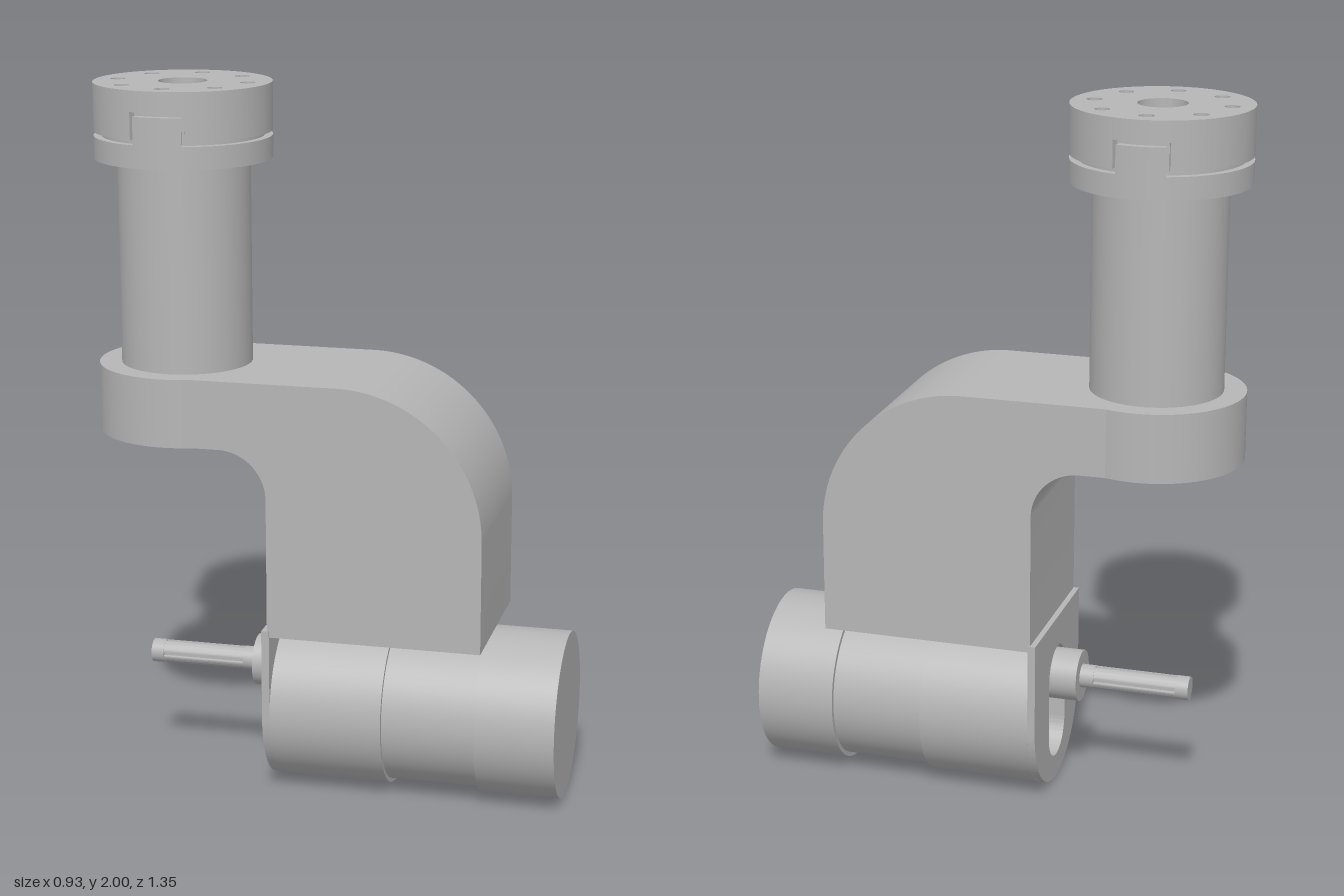
import * as THREE from 'three';
import { toCreasedNormals } from 'three/addons/utils/BufferGeometryUtils.js';

const rad = THREE.MathUtils.degToRad;

export function createModel() {
  const model = new THREE.Group();
  model.name = 'robotWrist';
  // Everything is built around the flange axis, then turned 25 degrees.
  const arm = new THREE.Group();
  arm.name = 'armAssembly';
  arm.position.set(-0.218, 0, -0.43);
  arm.rotation.y = rad(25);
  model.add(arm);

  const grey = new THREE.MeshStandardMaterial({ color: 0xb6b6b6 });
  grey.name = 'machined grey';

  const add = (name, geometry) => {
    const mesh = new THREE.Mesh(geometry, grey);
    mesh.name = name;
    arm.add(mesh);
    return mesh;
  };
  const extrude = (shape, depth) => toCreasedNormals(
    new THREE.ExtrudeGeometry(shape, { depth, bevelEnabled: false, curveSegments: 48 }), 0.5);
  // Extrusion standing upright from y0 to y1
  const upright = (name, shape, y0, y1) =>
    add(name, extrude(shape, y1 - y0).rotateX(-Math.PI / 2).translate(0, y0, 0));
  const post = (name, r, y0, y1) =>
    add(name, new THREE.CylinderGeometry(r, r, y1 - y0, 72).translate(0, (y0 + y1) / 2, 0));
  // Cylinder lying along z at height y
  const barrel = (name, r, y, z0, z1) =>
    add(name, new THREE.CylinderGeometry(r, r, z1 - z0, 72).rotateX(Math.PI / 2).translate(0, y, (z0 + z1) / 2));
  const circle = (x, y, r, Kind = THREE.Path) => new Kind().absarc(x, y, r, 0, Math.PI * 2, false);

  // Flange: base disc, drilled core and a collar with a stepped groove
  post('flangeBase', 0.248, 1.79, 1.853);
  const core = circle(0, 0, 0.226, THREE.Shape);
  core.holes.push(circle(0, 0, 0.068));
  for (let i = 0; i < 8; i++) {
    const a = i * Math.PI / 4;
    core.holes.push(circle(0.187 * Math.cos(a), 0.187 * Math.sin(a), 0.021));
  }
  upright('flangeCore', core, 1.853, 2);
  const sector = (from, to) => {
    const s = new THREE.Shape();
    s.absarc(0, 0, 0.248, rad(from), rad(to), false);
    s.absarc(0, 0, 0.225, rad(to), rad(from), true);
    s.closePath();
    return s;
  };
  for (const c of [0, 180]) {
    upright('collarTab', sector(c - 16, c + 16), 1.853, 1.93);
    upright('collarNotchTop', sector(c - 18, c + 18), 1.942, 2);
    upright('collarSkirt', sector(c + 18, c + 162), 1.866, 2);
  }

  // Column and the round pad it stands on
  post('column', 0.185, 1.21, 1.79);
  post('armPad', 0.248, 1.018, 1.212);

  // Elbow: side profile with a large outer bend and a small inner bend
  const side = new THREE.Shape();
  side.moveTo(0, 1.018);
  side.lineTo(0.155, 1.018);
  side.absarc(0.155, 0.882, 0.136, Math.PI / 2, 0, true);
  side.lineTo(0.291, 0.5);
  side.lineTo(0.898, 0.5);
  side.lineTo(0.898, 0.802);
  side.absarc(0.488, 0.802, 0.41, 0, Math.PI / 2, false);
  side.lineTo(0, 1.212);
  side.closePath();
  add('elbow', extrude(side, 0.468).rotateY(-Math.PI / 2).translate(0.234, 0, 0));

  // Drilled plate under the elbow
  const under = new THREE.Shape();
  under.moveTo(-0.234, -0.898);
  under.lineTo(0.234, -0.898);
  under.lineTo(0.234, -0.291);
  under.lineTo(-0.234, -0.291);
  under.closePath();
  for (const x of [-0.195, 0.195]) {
    for (let i = 0; i < 7; i++) under.holes.push(circle(x, -0.36 - i * 0.078, 0.011));
  }
  upright('elbowUnderside', under, 0.482, 0.5);
  add('saddle', new THREE.BoxGeometry(0.16, 0.05, 0.31).translate(0, 0.465, 0.452));

  // Motor housing: slotted back plate, slotted rear barrel, neck and front cap
  const slot = () => {
    const p = new THREE.Path();
    p.absarc(0, 0.325, 0.085, 0, Math.PI, false);
    p.absarc(0, 0.155, 0.085, Math.PI, Math.PI * 2, false);
    p.closePath();
    return p;
  };
  const plate = new THREE.Shape();
  plate.moveTo(-0.236, 0.5);
  plate.lineTo(-0.236, 0.238);
  plate.absarc(0, 0.238, 0.236, Math.PI, Math.PI * 2, false);
  plate.lineTo(0.236, 0.5);
  plate.closePath();
  plate.holes.push(slot());
  add('backPlate', extrude(plate, 0.022).translate(0, 0, 0.275));
  const rear = circle(0, 0.238, 0.237, THREE.Shape);
  rear.holes.push(slot());
  add('rearBarrel', extrude(rear, 0.32).translate(0, 0, 0.297));
  barrel('neck', 0.225, 0.238, 0.6, 0.89);
  barrel('frontCap', 0.238, 0.238, 0.882, 1.108);

  // Cable connector: boss, grooved rod and plain tip
  barrel('connectorBoss', 0.074, 0.327, 0.2, 0.6);
  const rod = new THREE.Shape();
  for (let i = 0; i < 4; i++) {
    const a = i * Math.PI / 2;
    rod.absarc(0, 0, 0.033, a + 0.18, a + Math.PI / 2 - 0.18, false);
    rod.absarc(0, 0, 0.025, a + Math.PI / 2 - 0.18, a + Math.PI / 2 + 0.18, false);
  }
  add('connectorRod', extrude(rod, 0.24).translate(0, 0.327, -0.08));
  barrel('connectorTip', 0.034, 0.327, -0.117, -0.08);
  barrel('connectorRoot', 0.034, 0.327, 0.16, 0.21);

  return model;
}
